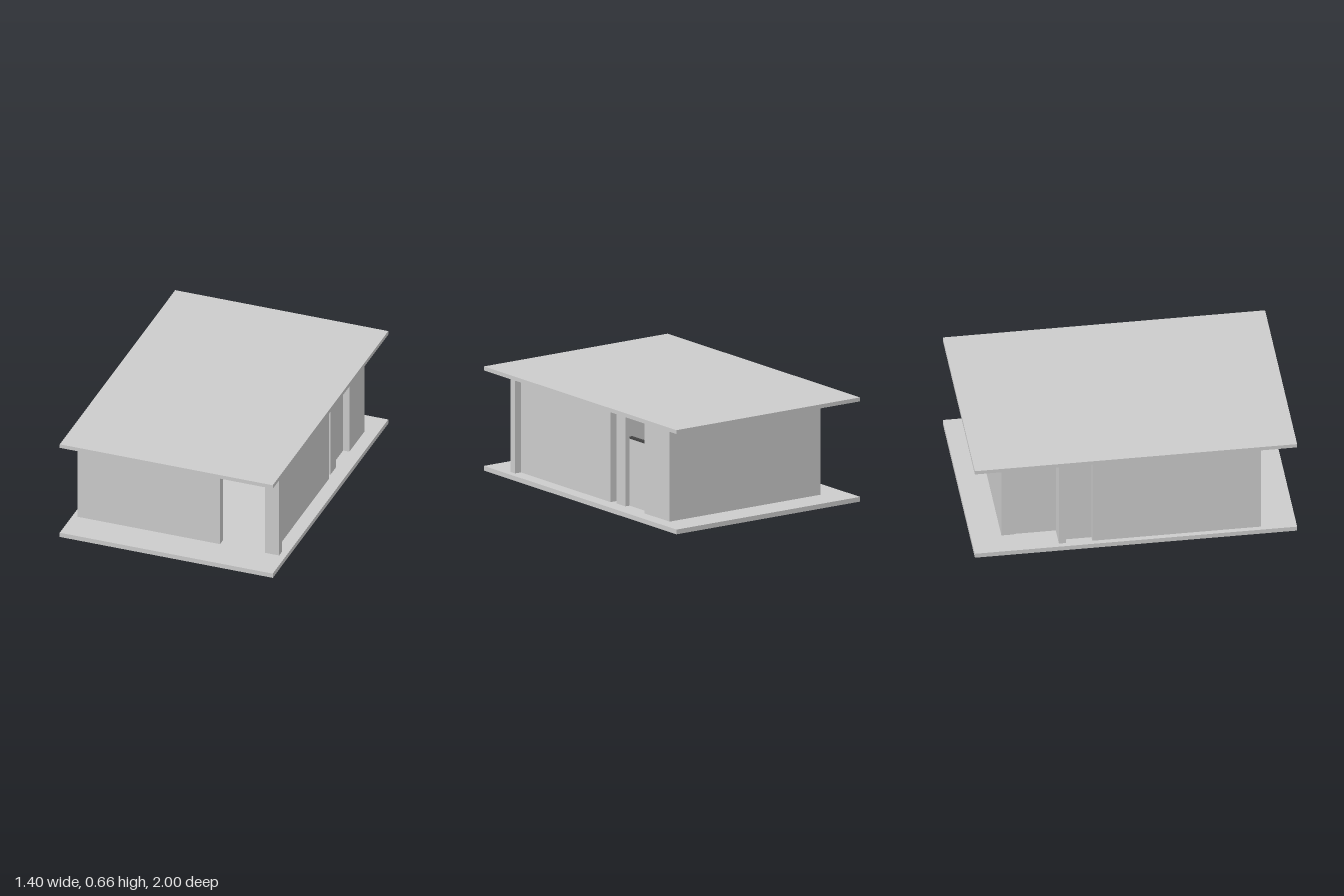
import * as THREE from 'three';

const FLOOR = 0.03, CEILING = 0.635;

export function createModel() {
  const house = new THREE.Group();
  house.name = 'pavilion';
  const grey = new THREE.MeshStandardMaterial({ color: 0xcccccc, flatShading: true });
  const dark = new THREE.MeshStandardMaterial({ color: 0x444444, flatShading: true });

  // Box given by its plan limits and its bottom and top
  function block(name, x0, x1, z0, z1, y0 = FLOOR, y1 = CEILING, material = grey) {
    const mesh = new THREE.Mesh(new THREE.BoxGeometry(x1 - x0, y1 - y0, z1 - z0), material);
    mesh.position.set((x0 + x1) / 2, (y0 + y1) / 2, (z0 + z1) / 2);
    mesh.name = name;
    house.add(mesh);
  }

  // Floor and overhanging flat roof
  block('floorSlab', -0.7, 0.7, -1, 1, 0, FLOOR);
  block('roofSlab', -0.7, 0.7, -1, 1, CEILING, 0.66);

  // Front wall and the pier across the wide entrance
  block('frontWall', -0.668, 0.27, 0.732, 0.78);
  block('frontPier', 0.565, 0.658, 0.732, 0.78);

  // Left side (+x): long wall, narrow pier, rear wall
  block('leftLongWall', 0.567, 0.615, -0.2, 0.732);
  block('leftPier', 0.572, 0.606, -0.34, -0.25);
  block('leftRearWall', 0.57, 0.615, -0.735, -0.55);

  // Back wall
  block('backWall', -0.535, 0.615, -0.812, -0.735);

  // Right side (-x): long wall, recessed rear wall, side door panel
  block('rightLongWall', -0.668, -0.617, -0.267, 0.732);
  block('rightRearWall', -0.53, -0.485, -0.735, -0.474);
  block('rightDoorPanel', -0.63, -0.61, -0.43, -0.267);

  // Inner partitions
  block('crossWall', -0.668, -0.01, -0.474, -0.43);
  block('innerWall', -0.055, -0.01, -0.43, 0.2);

  // Left door with thin dark frame
  block('leftDoor', 0.562, 0.574, -0.545, -0.34, FLOOR, 0.455);
  block('doorJamb', 0.552, 0.562, -0.55, -0.54, FLOOR, 0.46, dark);
  block('doorHead', 0.552, 0.574, -0.545, -0.34, 0.455, 0.468, dark);

  return house;
}
